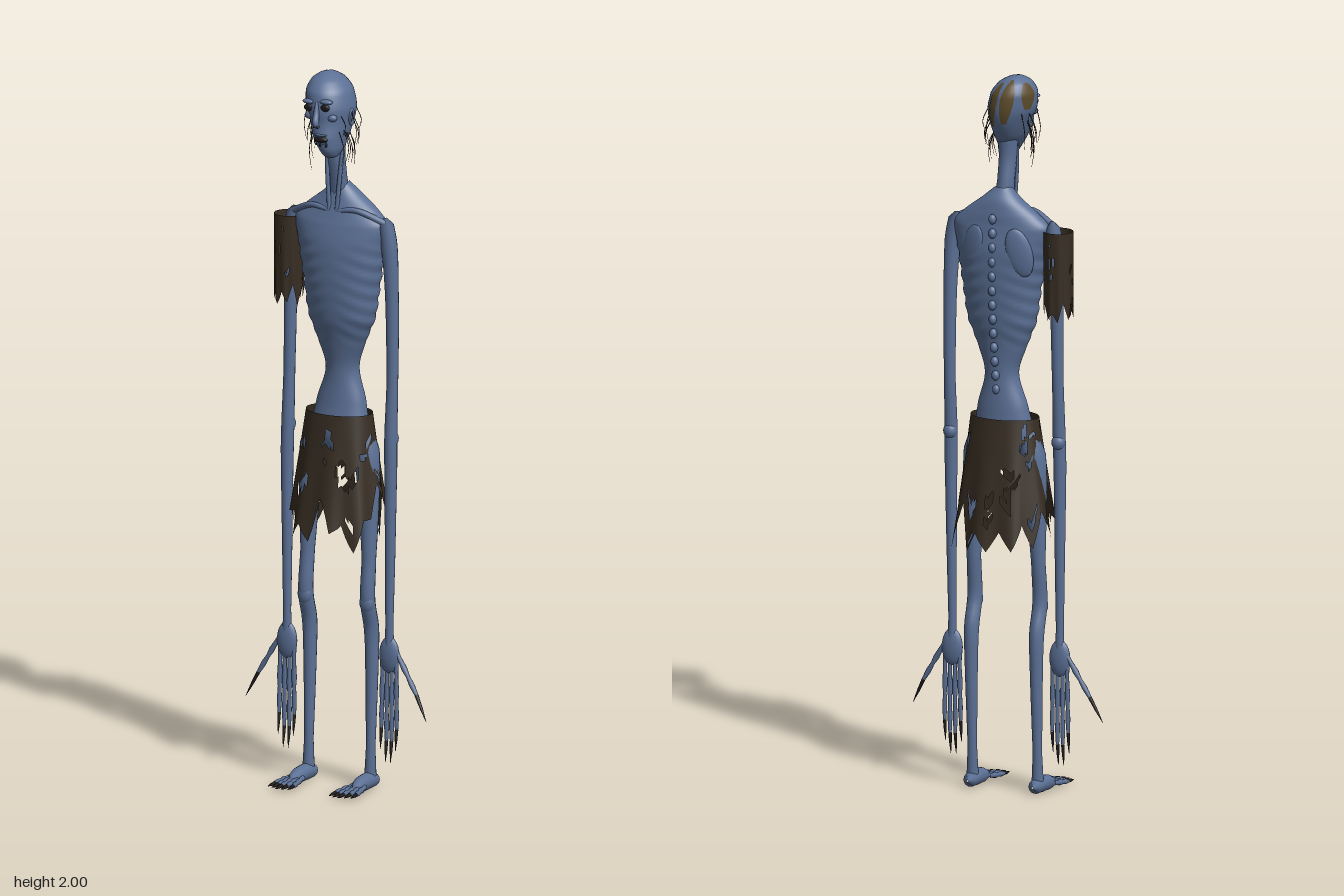
import * as THREE from 'three';

const mat = (name, color, extra = {}) => Object.assign(new THREE.MeshStandardMaterial({ color, ...extra }), { name });

export function createModel() {
  const root = new THREE.Group();
  root.name = 'gauntFigure';
  const skin = mat('skin', 0x5b7095);
  const cloth = mat('raggedCloth', 0x372d22, { side: THREE.DoubleSide });
  const dark = mat('darkClaw', 0x1d1a1a);
  const hairMat = mat('hair', 0x5e4d2c, { side: THREE.DoubleSide });
  const wispMat = mat('hairWisp', 0x2e2720);

  let seed = 11;
  const rnd = () => (seed = (seed * 16807) % 2147483647) / 2147483647;
  const OX = -0.008; // the body's middle sits slightly off centre
  const X = (s, x) => s * x + OX;

  function add(name, geo, material, parent = root) {
    const m = new THREE.Mesh(geo, material);
    m.name = name;
    parent.add(m);
    return m;
  }

  function group(name) {
    const g = new THREE.Group();
    g.name = name;
    root.add(g);
    return g;
  }

  // Surface over u (around) and v (up); cells can be dropped to make holes
  function grid(cols, rows, closed, fn, keep = () => true) {
    const n = closed ? cols : cols + 1, pos = [], idx = [];
    for (let j = 0; j <= rows; j++)
      for (let i = 0; i < n; i++) pos.push(...fn(i / cols, j / rows));
    for (let j = 0; j < rows; j++)
      for (let i = 0; i < cols; i++) {
        if (!keep((i + 0.5) / cols, (j + 0.5) / rows)) continue;
        const k = (i + 1) % n, a = j * n + i, b = j * n + k;
        idx.push(a, b, b + n, a, b + n, a + n);
      }
    const g = new THREE.BufferGeometry();
    g.setAttribute('position', new THREE.Float32BufferAttribute(pos, 3));
    g.setIndex(idx);
    g.computeVertexNormals();
    return g;
  }

  // Smooth body through elliptical sections [y, cx, cz, rx, rz]
  function section(rows) {
    const c = new THREE.CatmullRomCurve3(rows.map(r => new THREE.Vector3(r[1], r[0], r[2])));
    const s = new THREE.CatmullRomCurve3(rows.map(r => new THREE.Vector3(r[3], r[4], 0)));
    return (theta, v, swell = () => 1) => {
      const p = c.getPoint(v), r = s.getPoint(v), k = swell(theta, p.y);
      return [p.x + r.x * k * Math.sin(theta), p.y, p.z + r.y * k * Math.cos(theta)];
    };
  }

  // Tapered tube through points [x, y, z, radius]
  function taper(pts, seg = 24, sides = 12) {
    const curve = new THREE.CatmullRomCurve3(pts.map(p => new THREE.Vector3(p[0], p[1], p[2])));
    const g = new THREE.TubeGeometry(curve, seg, 1, sides), a = g.attributes.position, v = new THREE.Vector3();
    for (let i = 0; i <= seg; i++) {
      const t = curve.getUtoTmapping(i / seg) * (pts.length - 1);
      const k = Math.min(Math.floor(t), pts.length - 2);
      const r = THREE.MathUtils.lerp(pts[k][3], pts[k + 1][3], t - k), c = curve.getPointAt(i / seg);
      for (let j = 0; j <= sides; j++) {
        const n = i * (sides + 1) + j;
        v.fromBufferAttribute(a, n).sub(c).multiplyScalar(r).add(c);
        a.setXYZ(n, v.x, v.y, v.z);
      }
    }
    return g;
  }

  function ball(name, p, s, material, parent = root) {
    const m = add(name, new THREE.SphereGeometry(1, 18, 12), material, parent);
    m.position.set(...p);
    m.scale.set(...s);
    return m;
  }

  // Torso with rib ridges that slope down towards the sides
  const torso = section([
    [0.92, -0.008, -0.03, 0.005, 0.005], [0.94, -0.008, -0.03, 0.05, 0.04], [1.0, -0.008, -0.03, 0.085, 0.052],
    [1.08, -0.006, -0.035, 0.073, 0.045], [1.17, -0.003, -0.035, 0.048, 0.04], [1.25, -0.002, -0.03, 0.072, 0.05],
    [1.32, 0, -0.027, 0.1, 0.065], [1.42, 0, -0.027, 0.115, 0.073], [1.52, -0.002, -0.03, 0.132, 0.072],
    [1.58, -0.004, -0.033, 0.143, 0.06], [1.62, -0.005, -0.038, 0.108, 0.05], [1.66, -0.006, -0.04, 0.055, 0.038],
    [1.69, -0.008, -0.035, 0.022, 0.022]]);
  const ribs = (th, y) => {
    const fade = THREE.MathUtils.smoothstep(y, 1.22, 1.28) * (1 - THREE.MathUtils.smoothstep(y, 1.48, 1.56));
    const off = Math.abs(Math.sin(th));
    return 1 + 0.02 * fade * Math.min(1, off * 2) * Math.sin((y + 0.05 * off) * 2 * Math.PI / 0.042);
  };
  add('torso', grid(56, 130, true, (u, v) => torso(u * Math.PI * 2, v, ribs)), skin);

  // Spine knobs
  const spine = group('spine');
  for (let i = 0; i < 13; i++) {
    const y = 1.13 + i * 0.04, t = (y - 1.13) / 0.48;
    ball('vertebra', [-0.004, y, -0.073 - 0.027 * Math.sin(Math.min(1, t * 1.25) * Math.PI * 0.62)], [0.011, 0.014, 0.011], skin, spine);
  }

  // Neck with tendons
  add('neck', taper([[-0.012, 1.84, -0.015, 0.03], [-0.01, 1.77, -0.012, 0.025], [-0.009, 1.7, -0.023, 0.024], [-0.008, 1.62, -0.035, 0.032]]), skin);
  for (const s of [-1, 1]) {
    add('neckTendon', taper([[X(s, 0.026), 1.8, -0.005, 0.006], [X(s, 0.02), 1.72, 0.004, 0.006], [X(s, 0.012), 1.62, 0.008, 0.006], [X(s, 0.01), 1.59, 0.012, 0.001]]), skin);
    add('collarbone', taper([[X(s, 0.01), 1.615, 0.008, 0.006], [X(s, 0.07), 1.622, 0.002, 0.008], [X(s, 0.145), 1.59, -0.025, 0.01]]), skin);
    const blade = ball('shoulderBlade', [X(s, 0.07), 1.52, -0.083], [0.036, 0.07, 0.012], skin);
    blade.rotation.set(-0.05, s * -0.3, s * 0.25);
  }

  // Head: tilted egg with a narrow jaw
  const skull = section([
    [1.768, 0, 0.03, 0.002, 0.002], [1.775, 0, 0.03, 0.018, 0.022], [1.795, -0.002, 0.024, 0.03, 0.045], [1.83, -0.01, 0.012, 0.044, 0.066],
    [1.87, -0.015, -0.002, 0.055, 0.074], [1.91, -0.021, -0.006, 0.065, 0.079], [1.95, -0.028, -0.009, 0.062, 0.074],
    [1.98, -0.034, -0.013, 0.044, 0.053], [1.995, -0.037, -0.016, 0.02, 0.026], [2.0, -0.038, -0.018, 0.002, 0.002]]);
  const head = group('head');
  add('skull', grid(40, 48, true, (u, v) => skull(u * Math.PI * 2, v)), skin, head);
  add('nose', taper([[-0.023, 1.93, 0.068, 0.004], [-0.019, 1.9, 0.078, 0.008], [-0.014, 1.875, 0.089, 0.01], [-0.013, 1.863, 0.08, 0.005]], 16), skin, head);
  for (const s of [-1, 1]) {
    ball('brow', [-0.024 + s * 0.027, 1.93 + s * 0.002, 0.062], [0.02, 0.007, 0.012], skin, head);
    ball('cheekbone', [-0.019 + s * 0.034, 1.887, 0.053], [0.016, 0.011, 0.012], skin, head);
    ball('eyeSocket', [-0.024 + s * 0.026, 1.914 + s * 0.002, 0.067], [0.014, 0.01, 0.006], dark, head);
    ball('nostril', [-0.013 + s * 0.005, 1.866, 0.092], [0.003, 0.003, 0.003], dark, head);
    const ear = add('ear', new THREE.TorusGeometry(0.013, 0.004, 8, 16), skin, head);
    ear.position.set(-0.017 + s * 0.06, 1.882, -0.006);
    ear.rotation.y = Math.PI / 2;
    ear.scale.set(0.8, 1.5, 1);
  }
  // Mouth and crooked teeth
  ball('mouth', [-0.008, 1.828, 0.072], [0.021, 0.009, 0.009], dark, head);
  ball('upperLip', [-0.009, 1.84, 0.072], [0.02, 0.004, 0.009], skin, head);
  ball('lowerLip', [-0.006, 1.816, 0.067], [0.018, 0.004, 0.009], skin, head);
  for (let i = 0; i < 5; i++) {
    const tooth = add('tooth', new THREE.ConeGeometry(0.003, 0.013 + rnd() * 0.008, 5), dark, head);
    tooth.position.set(-0.024 + i * 0.008, 1.826 + (i % 2 ? 0.008 : -0.008), 0.077 - Math.abs(i - 2) * 0.003);
    tooth.rotation.z = i % 2 ? Math.PI : 0;
  }

  // Scalp patches and hanging wisps of hair
  for (const [t0, w, v0, v1] of [[3.35, 0.3, 0.45, 0.86], [2.7, 0.22, 0.42, 0.8], [4.3, 0.35, 0.56, 0.8]])
    add('scalpPatch', grid(8, 14, false, (u, v) => {
      const edge = 0.4 + 0.6 * Math.sin(v * Math.PI);
      return skull(t0 + (u - 0.5) * w * edge * 2, v0 + (v1 - v0) * v, () => 1.02);
    }), hairMat, head);
  for (let i = 0; i < 22; i++) {
    const th = (i % 2 ? 1.6 : 4.68) + (rnd() - 0.5) * 1.3, p = skull(th, 0.34 + rnd() * 0.2, () => 1.01);
    const out = Math.sin(th) * 0.014, len = 0.05 + rnd() * 0.06;
    add('hairWisp', taper([[...p, 0.0012], [p[0] + out, p[1] - len * 0.5, p[2] - 0.004, 0.0012],
      [p[0] + out * 0.6 + (rnd() - 0.5) * 0.01, Math.max(1.71, p[1] - len), p[2], 0.0004]], 6, 4), wispMat, head);
  }

  // A finger or toe with knuckles, ending in a claw
  function digit(parent, a, b, tip, r) {
    const at = (t, k) => [0, 1, 2].map(i => a[i] + (b[i] - a[i]) * t).concat(r * k);
    add('digit', taper([at(0, 1), at(0.2, 0.8), at(0.45, 1.15), at(0.6, 0.75), at(0.8, 1.05), at(1, 0.7)], 18, 8), skin, parent);
    add('claw', taper([[...b, r * 0.75], [...b.map((v, i) => (v + tip[i]) / 2), r * 0.55], [...tip, 0.0005]], 6, 8), dark, parent);
  }

  for (const s of [-1, 1]) {
    const side = s > 0 ? 'left' : 'right';
    // Arm and hand
    const arm = group(side + 'Arm');
    add('armBone', taper([[X(s, 0.143), 1.605, -0.03, 0.004], [X(s, 0.146), 1.585, -0.03, 0.021], [X(s, 0.154), 1.53, -0.032, 0.023],
      [X(s, 0.16), 1.4, -0.036, 0.019], [X(s, 0.163), 1.15, -0.034, 0.016], [X(s, 0.163), 1.0, -0.026, 0.018], [X(s, 0.164), 0.92, -0.024, 0.018],
      [X(s, 0.163), 0.65, -0.022, 0.014], [X(s, 0.162), 0.47, -0.02, 0.011], [X(s, 0.162), 0.41, -0.02, 0.013]], 60, 14), skin, arm);
    ball('elbow', [X(s, 0.163), 0.99, -0.032], [0.019, 0.022, 0.018], skin, arm);
    ball('palm', [X(s, 0.162), 0.385, -0.02], [0.031, 0.052, 0.015], skin, arm);
    for (let f = 0; f < 4; f++) {
      const o = (f - 1.5) * 0.016, drop = f === 0 || f === 3 ? 0.035 : 0;
      digit(arm, [X(s, 0.162 + o * 0.9), 0.365, -0.02], [X(s, 0.162 + o), 0.145 + drop, -0.018], [X(s, 0.162 + o), 0.085 + drop, -0.012], 0.0068);
    }
    digit(arm, [X(s, 0.178), 0.405, -0.022], [X(s, 0.25), 0.285, -0.016], [X(s, 0.286), 0.215, -0.008], 0.0075);

    // Leg and foot
    const leg = group(side + 'Leg');
    add('legBone', taper([[X(s, 0.06), 1.02, -0.03, 0.02], [X(s, 0.083), 0.95, -0.028, 0.037], [X(s, 0.093), 0.83, -0.026, 0.03], [X(s, 0.097), 0.65, -0.02, 0.02],
      [X(s, 0.098), 0.53, -0.012, 0.021], [X(s, 0.098), 0.45, -0.032, 0.021], [X(s, 0.098), 0.33, -0.034, 0.018],
      [X(s, 0.098), 0.12, -0.028, 0.013], [X(s, 0.098), 0.03, -0.026, 0.017]], 50, 14), skin, leg);
    ball('kneecap', [X(s, 0.098), 0.525, -0.007], [0.021, 0.03, 0.016], skin, leg);
    add('foot', taper([[X(s, 0.098), 0.024, -0.058, 0.003], [X(s, 0.098), 0.024, -0.045, 0.019], [X(s, 0.098), 0.026, -0.01, 0.023],
      [X(s, 0.099), 0.023, 0.03, 0.021], [X(s, 0.1), 0.018, 0.055, 0.014], [X(s, 0.1), 0.016, 0.062, 0.002]], 30, 14), skin, leg);
    for (let t = 0; t < 5; t++) {
      const o = (t - 2) * 0.0155, z = 0.118 - Math.abs(t - 1.6) * 0.008;
      digit(leg, [X(s, 0.098 + o * 0.6), 0.02, 0.035], [X(s, 0.098 + o), 0.014, z], [X(s, 0.098 + o * 1.05), 0.012, z + 0.034], 0.0075);
    }
  }

  // Torn cloth tube: jagged hem, oval holes, flaring from the top radii to the bottom ones
  function rag(name, c, top, bottom, y0, y1, teeth, hemDepth, holes, lift) {
    const cols = teeth * 3, fray = [], gaps = [];
    for (let i = 0; i < teeth; i++) fray.push(i % 2 ? rnd() * 0.4 : 0.45 + rnd() * 0.55);
    for (let i = 0; i < holes; i++) gaps.push([rnd(), 0.05 + rnd() * 0.85, 0.008 + rnd() * 0.014, 0.02 + rnd() * 0.06]);
    add(name, grid(cols, 30, true, (u, v) => {
      const th = u * Math.PI * 2, f = u * teeth, k = Math.floor(f + 1e-6);
      const hem = y1 + lift(th) + hemDepth * THREE.MathUtils.lerp(fray[k % teeth], fray[(k + 1) % teeth], f - k);
      const y = THREE.MathUtils.lerp(hem, y0, v), t = (y0 - y) / (y0 - y1), wave = 1 + 0.06 * t * Math.sin(th * 9);
      return [c[0] + THREE.MathUtils.lerp(top[0], bottom[0], t) * wave * Math.sin(th), y,
        c[1] + THREE.MathUtils.lerp(top[1], bottom[1], t) * wave * Math.cos(th)];
    }, (u, v) => !gaps.some(([a, b, w, h]) => ((u - a - (v - b) * 0.1) / w) ** 2 + ((v - b) / h) ** 2 < 1)), cloth);
  }
  rag('raggedSkirt', [-0.007, -0.025], [0.098, 0.067], [0.155, 0.13], 1.05, 0.635, 26, 0.17, 42,
    th => 0.1 * Math.abs(Math.sin(th)) ** 6 + 0.07 * Math.max(0, Math.cos(th - 0.15)) ** 30);
  rag('tornSleeve', [-0.17, -0.03], [0.041, 0.04], [0.039, 0.039], 1.58, 1.32, 16, 0.07, 12, () => 0);

  return root;
}
